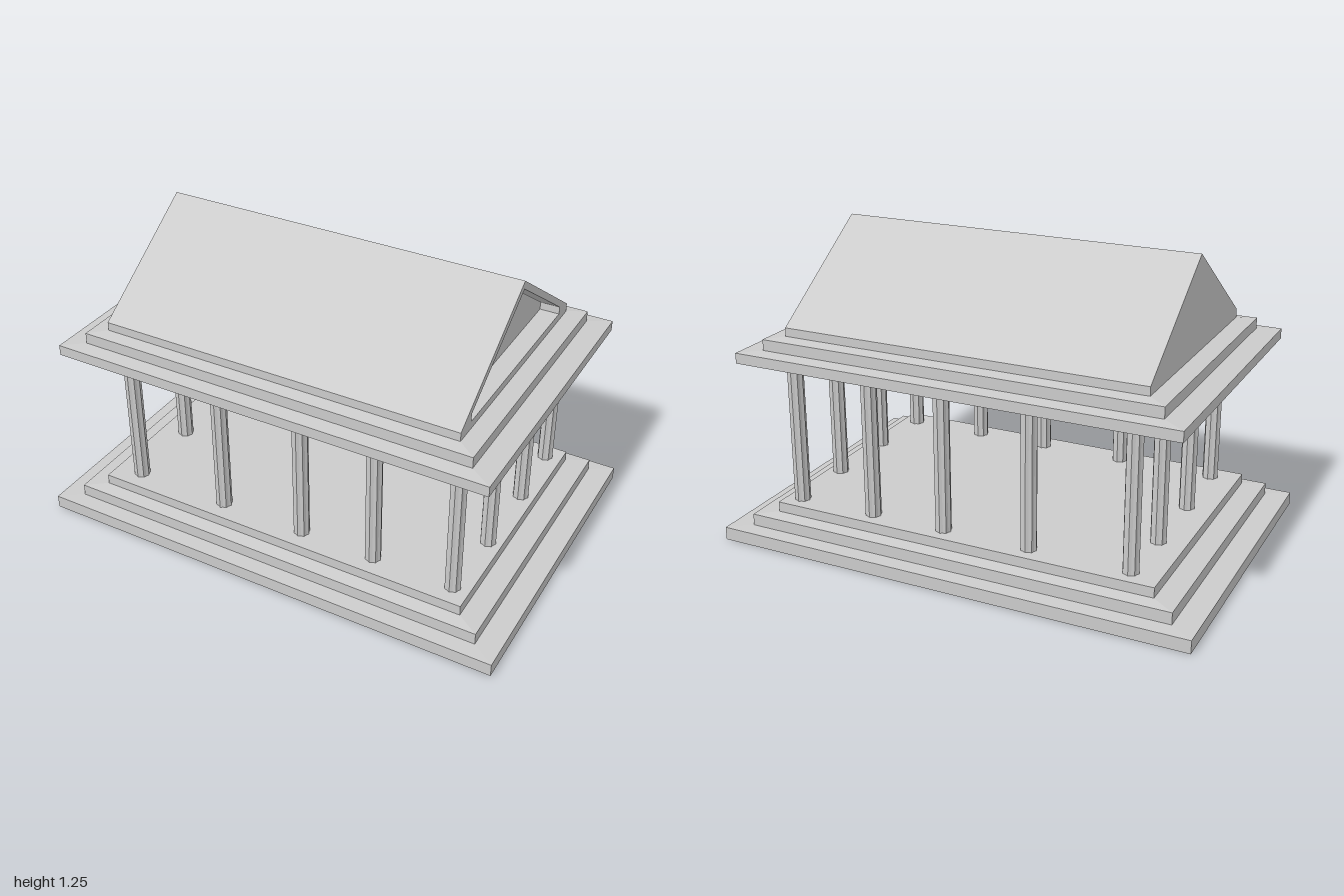
import * as THREE from 'three';

const material = new THREE.MeshStandardMaterial({ color: 0xcccccc, flatShading: true });

function addMesh(parent, name, geometry) {
  const mesh = new THREE.Mesh(geometry, material);
  mesh.name = name;
  parent.add(mesh);
  return mesh;
}

// Stepped block from rectangular rings [halfX, halfZ, y], bottom to top
function steppedBlock(rings) {
  const positions = [];
  const index = [];
  for (const [x, z, y] of rings) {
    positions.push(-x, y, z, x, y, z, x, y, -z, -x, y, -z);
  }
  for (let r = 0; r < rings.length - 1; r++) {
    for (let i = 0; i < 4; i++) {
      const a = r * 4 + i;
      const b = r * 4 + (i + 1) % 4;
      index.push(a, b, b + 4, a, b + 4, a + 4);
    }
  }
  const t = (rings.length - 1) * 4;
  index.push(0, 2, 1, 0, 3, 2, t, t + 1, t + 2, t, t + 2, t + 3);
  const geometry = new THREE.BufferGeometry();
  geometry.setAttribute('position', new THREE.Float32BufferAttribute(positions, 3));
  geometry.setIndex(index);
  const flat = geometry.toNonIndexed();
  flat.computeVertexNormals();
  return flat;
}

// Fluted shaft: every second side vertex is drawn inwards
function columnGeometry(radius, height) {
  const shape = new THREE.Shape();
  const sides = 16;
  for (let i = 0; i < sides; i++) {
    const r = i % 2 ? radius * 0.87 : radius;
    const a = (i / sides) * Math.PI * 2;
    if (i) shape.lineTo(r * Math.cos(a), r * Math.sin(a));
    else shape.moveTo(r, 0);
  }
  return new THREE.ExtrudeGeometry(shape, { depth: height, bevelEnabled: false }).rotateX(-Math.PI / 2);
}

// House-shaped gable outline in the z-y plane
function gablePoints(half, bottom, eave, ridge) {
  return [[-half, bottom], [half, bottom], [half, eave], [0, ridge], [-half, eave]]
    .map(([u, v]) => new THREE.Vector2(u, v));
}

// Extrude a gable shape along x, from x0 to x1
function alongX(shape, x0, x1) {
  return new THREE.ExtrudeGeometry(shape, { depth: x1 - x0, bevelEnabled: false })
    .rotateY(Math.PI / 2).translate(x0, 0, 0);
}

export function createModel() {
  const temple = new THREE.Group();
  temple.name = 'temple';

  // Three-step platform
  addMesh(temple, 'steppedBase', steppedBlock([
    [1, 0.67, 0], [1, 0.67, 0.054],
    [0.905, 0.605, 0.057], [0.905, 0.605, 0.106],
    [0.815, 0.548, 0.113], [0.815, 0.548, 0.155],
  ]));

  // Two slabs carried by the columns
  addMesh(temple, 'entablature', steppedBlock([
    [0.92, 0.62, 0.763], [0.92, 0.62, 0.806],
    [0.83, 0.56, 0.812], [0.83, 0.56, 0.857],
    [0.757, 0.507, 0.865],
  ]));

  // Colonnade: two long rows and two pairs on the short sides
  const columns = new THREE.Group();
  columns.name = 'columns';
  temple.add(columns);
  const shaft = columnGeometry(0.033, 0.608);
  const places = [[0.757, 0.16], [0.757, -0.173], [-0.705, 0.133], [-0.705, -0.203]];
  for (const x of [-0.697, -0.283, 0.085, 0.405, 0.745]) {
    places.push([x, 0.464], [x, -0.475]);
  }
  for (const [x, z] of places) addMesh(columns, 'column', shaft).position.set(x, 0.155, z);

  // Roof with a recessed pediment at the +x end only
  const end = 0.757;
  const recess = 0.08;
  const outline = gablePoints(0.507, 0.863, 0.9, 1.25);
  addMesh(temple, 'roof', alongX(new THREE.Shape(outline), -end, end - recess));
  const frame = new THREE.Shape(outline);
  frame.holes.push(new THREE.Path(gablePoints(0.42, 0.896, 0.928, 1.216)));
  addMesh(temple, 'pedimentFrame', alongX(frame, end - recess, end));

  return temple;
}
